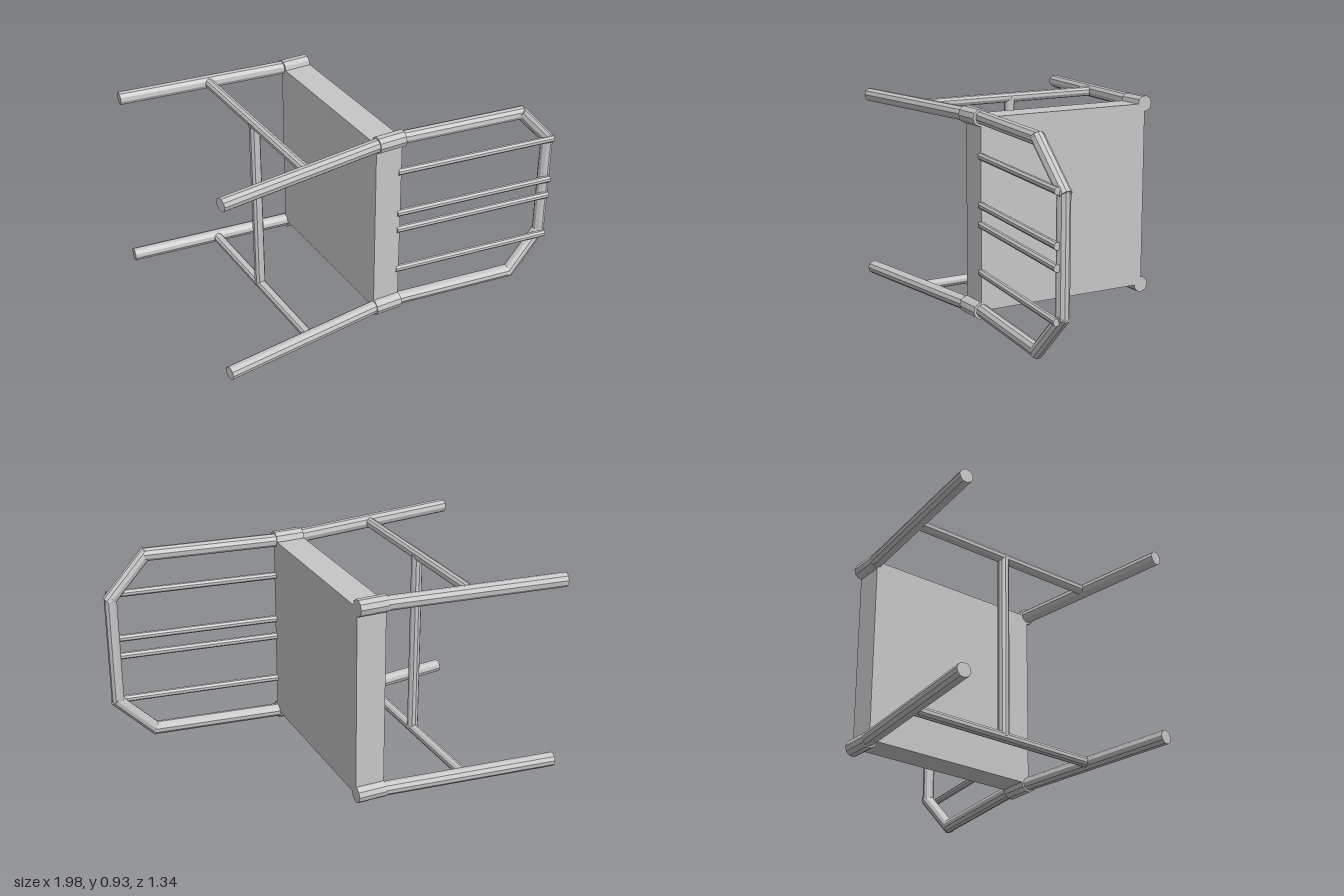
import * as THREE from 'three';

// A spindle-back chair lying on its side: the chair's width runs along y.
const LOW = 0.046, HIGH = 0.896, MID = (LOW + HIGH) / 2;

export function createModel() {
  const chair = new THREE.Group();
  chair.name = 'chair';
  const grey = new THREE.MeshStandardMaterial({ color: 0xc6c6c6 });
  grey.name = 'grey';
  grey.flatShading = true;

  const V = (x, y, z) => new THREE.Vector3(x, y, z);

  // Round bar between two points, optionally lengthened at both ends
  function bar(name, a, b, r, extend = 0, sides = 10) {
    const dir = b.clone().sub(a);
    const mesh = new THREE.Mesh(
      new THREE.CylinderGeometry(r, r, dir.length() + 2 * extend, sides), grey);
    mesh.position.copy(a).add(b).multiplyScalar(0.5);
    mesh.quaternion.setFromUnitVectors(V(0, 1, 0), dir.normalize());
    mesh.name = name;
    chair.add(mesh);
  }

  // Seat slab, defined by its four corners in plan
  const under = { front: [-0.273, -0.572], back: [0.18, 0.148] };
  const over = { front: [-0.164, -0.642], back: [0.289, 0.078] };
  const length = Math.hypot(under.back[0] - under.front[0], under.back[1] - under.front[1]);
  const seat = new THREE.Mesh(new THREE.BoxGeometry(0.13, HIGH - LOW, length), grey);
  seat.name = 'seat';
  seat.position.set((under.front[0] + over.back[0]) / 2, MID, (under.front[1] + over.back[1]) / 2);
  seat.rotation.y = Math.atan2(under.back[0] - under.front[0], under.back[1] - under.front[1]);
  chair.add(seat);

  // Parts repeated on both sides of the chair
  for (const [side, y] of [['lower', LOW], ['upper', HIGH]]) {
    const inward = Math.sign(MID - y);
    const at = ([x, z]) => V(x, y, z);

    // Corner collars
    bar(side + 'FrontCollar', at(under.front), at(over.front), 0.037);
    bar(side + 'BackCollar', at(under.back), at(over.back), 0.039);

    // Legs
    bar(side + 'FrontLeg', at([-0.985, -0.235]), at([-0.255, -0.587]), 0.031);
    bar(side + 'BackLeg', at([-0.428, 0.645]), at([0.19, 0.142]), 0.031);

    // Side stretcher
    bar(side + 'SideStretcher', at([-0.615, -0.43]), at([-0.094, 0.387]), 0.023);

    // Back post and slanted shoulder of the back hoop
    bar(side + 'BackPost', at([0.275, 0.08]), at([0.82, -0.174]), 0.03);
    bar(side + 'Shoulder', at([0.815, -0.17]), V(0.952, y + inward * 0.177, -0.267), 0.029, 0.016);
  }

  // Cross stretcher joining the side stretchers
  bar('crossStretcher', V(-0.355, LOW, -0.022), V(-0.355, HIGH, -0.022), 0.025);

  // Top rail of the back
  bar('topRail', V(0.952, LOW + 0.17, -0.267), V(0.952, HIGH - 0.17, -0.267), 0.028);

  // Back spindles
  for (const offset of [-0.256, -0.043, 0.043, 0.256]) {
    bar('spindle', V(0.275, MID + offset, 0.08), V(0.978, MID + offset, -0.245), 0.016, 0, 8);
  }

  return chair;
}
